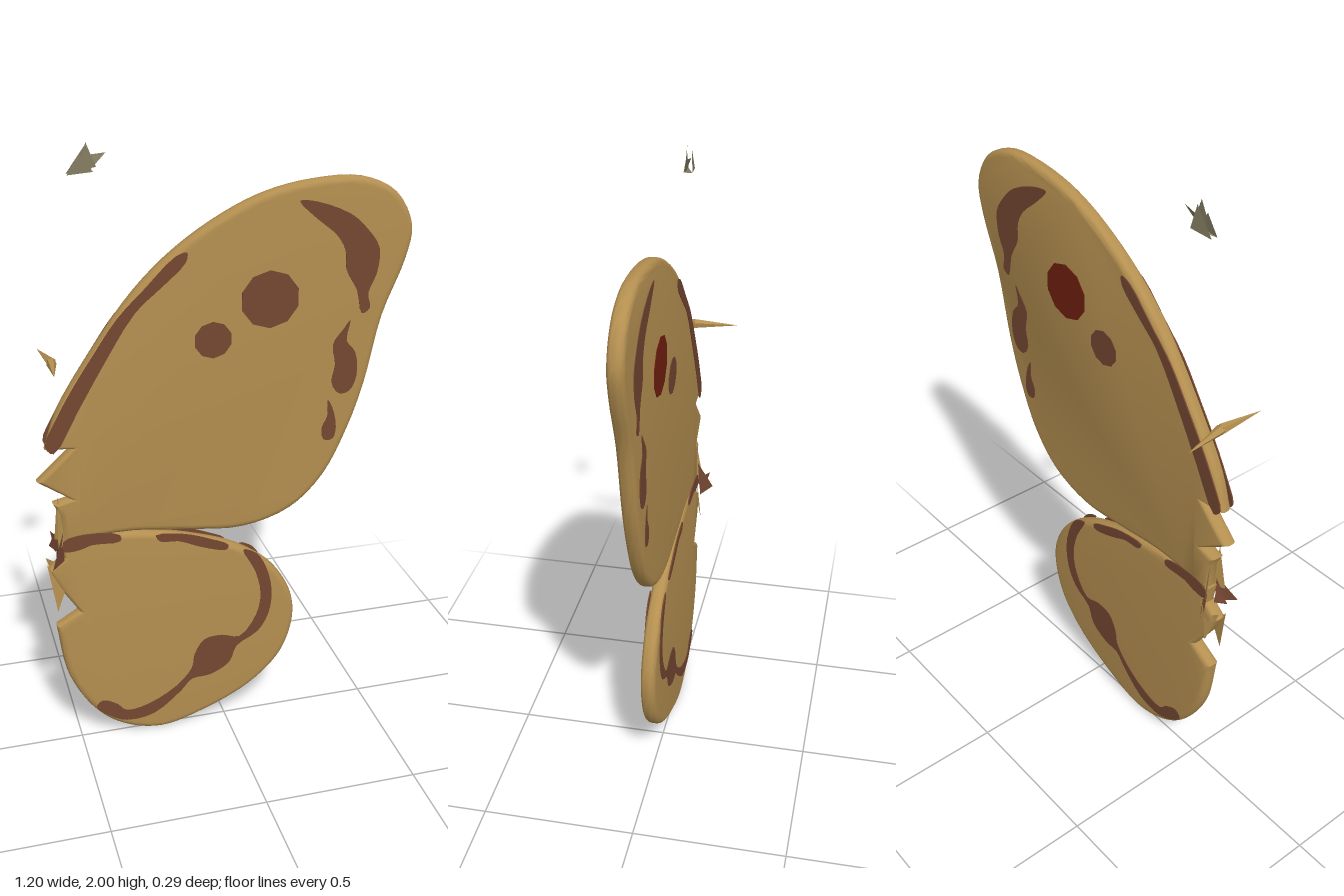
import * as THREE from 'three';
import { toCreasedNormals } from 'three/addons/utils/BufferGeometryUtils.js';

const FRONT = 0.03, BACK = -0.02; // faces of the wing slab

const material = (name, color, side = THREE.FrontSide) => {
  const m = new THREE.MeshStandardMaterial({ color, side });
  m.name = name;
  return m;
};

// Smooth points through a list of [x, y] pairs
const smooth = (pts, closed, n) =>
  new THREE.CatmullRomCurve3(pts.map(([x, y]) => new THREE.Vector3(x, y, 0)), closed, 'centripetal')
    .getPoints(n).map((p) => new THREE.Vector2(p.x, p.y));

// Wing slab: smooth rim plus a torn, jagged root edge
function wingGeometry(rim, torn) {
  const shape = new THREE.Shape([...smooth(rim, false, 80), ...torn.map(([x, y]) => new THREE.Vector2(x, y))]);
  const geo = new THREE.ExtrudeGeometry(shape, {
    depth: 0.014, bevelThickness: 0.018, bevelSize: 0.02, bevelOffset: -0.02, bevelSegments: 4,
  });
  geo.translate(0, 0, -0.002);
  return toCreasedNormals(geo, 0.7);
}

// Open triangles, nine coordinates each
function shardGeometry(coords) {
  const geo = new THREE.BufferGeometry();
  geo.setAttribute('position', new THREE.Float32BufferAttribute(coords, 3));
  geo.computeVertexNormals();
  return geo;
}

const UPPER_RIM = [
  [-0.57, 1.085], [-0.53, 1.2], [-0.41, 1.39], [-0.28, 1.56], [-0.15, 1.68], [0, 1.775], [0.13, 1.83],
  [0.275, 1.858], [0.43, 1.857], [0.54, 1.805], [0.595, 1.7], [0.58, 1.6], [0.51, 1.42], [0.46, 1.2],
  [0.41, 1.05], [0.33, 0.89], [0.22, 0.785], [0.06, 0.737], [-0.12, 0.75], [-0.31, 0.773], [-0.53, 0.765],
];
const UPPER_TORN = [[-0.535, 0.86], [-0.555, 0.9], [-0.5, 0.912], [-0.6, 0.98], [-0.49, 1.08]];
const LOWER_RIM = [
  [-0.54, 0.775], [-0.3, 0.768], [-0.12, 0.73], [0.04, 0.67], [0.16, 0.58], [0.228, 0.465], [0.238, 0.36],
  [0.195, 0.23], [0.09, 0.125], [-0.07, 0.045], [-0.23, 0.004], [-0.36, 0.04], [-0.455, 0.12],
  [-0.535, 0.27], [-0.565, 0.46],
];
const LOWER_TORN = [[-0.49, 0.505], [-0.55, 0.6], [-0.58, 0.67], [-0.53, 0.71]];

const MARKS = {
  leadingEdgeBand: [
    [-0.57, 1.1], [-0.545, 1.075], [-0.465, 1.205], [-0.385, 1.34], [-0.28, 1.5], [-0.2, 1.57], [-0.125, 1.64],
    [-0.12, 1.67], [-0.155, 1.66], [-0.25, 1.57], [-0.335, 1.485], [-0.41, 1.38], [-0.48, 1.275], [-0.535, 1.18],
  ],
  tipBand: [
    [0.225, 1.8], [0.28, 1.795], [0.39, 1.75], [0.445, 1.7], [0.485, 1.64], [0.48, 1.56], [0.455, 1.5],
    [0.462, 1.45], [0.437, 1.435], [0.418, 1.51], [0.38, 1.58], [0.375, 1.64], [0.345, 1.69], [0.285, 1.74],
  ],
  outerBand: [
    [0.4, 1.415], [0.39, 1.35], [0.42, 1.31], [0.428, 1.23], [0.405, 1.18], [0.37, 1.175],
    [0.345, 1.215], [0.355, 1.275], [0.345, 1.34], [0.38, 1.39],
  ],
  outerDot: [[0.335, 1.155], [0.35, 1.13], [0.365, 1.06], [0.355, 1.02], [0.325, 1.02], [0.317, 1.06], [0.335, 1.1]],
  rootBand: [[-0.53, 0.77], [-0.46, 0.787], [-0.35, 0.768], [-0.35, 0.747], [-0.44, 0.747], [-0.48, 0.735], [-0.53, 0.735]],
  upperHindBand: [
    [-0.233, 0.75], [-0.14, 0.742], [-0.05, 0.71], [0.008, 0.68], [0, 0.665], [-0.085, 0.688], [-0.16, 0.72], [-0.22, 0.727],
  ],
  hindBand: [
    [0.058, 0.655], [0.105, 0.635], [0.137, 0.58], [0.158, 0.49], [0.148, 0.4], [0.11, 0.335], [0.037, 0.29],
    [0.01, 0.228], [-0.06, 0.19], [-0.12, 0.185], [-0.16, 0.143], [-0.255, 0.07], [-0.35, 0.06], [-0.41, 0.09],
    [-0.45, 0.13], [-0.43, 0.153], [-0.38, 0.13], [-0.35, 0.1], [-0.275, 0.11], [-0.175, 0.165], [-0.12, 0.228],
    [-0.11, 0.28], [-0.075, 0.333], [-0.015, 0.34], [0.047, 0.325], [0.105, 0.4], [0.12, 0.48], [0.1, 0.57],
  ],
};

export function createModel() {
  const model = new THREE.Group();
  model.name = 'tornWings';
  const tan = material('wingTan', 0xb48f50);
  const tanOpen = material('shardTan', 0xb48f50, THREE.DoubleSide);
  const brown = material('markingBrown', 0x744631, THREE.DoubleSide);
  const red = material('spotDarkRed', 0x701f0f);
  const olive = material('scrapOlive', 0x827b60, THREE.DoubleSide);

  const add = (name, geometry, mat) => {
    const mesh = new THREE.Mesh(geometry, mat);
    mesh.name = name;
    model.add(mesh);
    return mesh;
  };

  add('upperWing', wingGeometry(UPPER_RIM, UPPER_TORN), tan);
  add('lowerWing', wingGeometry(LOWER_RIM, LOWER_TORN), tan);

  // Markings: thin plates on both faces
  const plate = (name, shape, frontMat, backMat) => {
    const geo = new THREE.ExtrudeGeometry(shape, { depth: 0.004, bevelEnabled: false });
    add(name + 'Front', geo, frontMat).position.z = FRONT - 0.002;
    add(name + 'Back', geo, backMat).position.z = BACK - 0.002;
  };
  for (const [name, pts] of Object.entries(MARKS)) {
    plate(name, new THREE.Shape(smooth(pts, true, pts.length * 3)), brown, brown);
  }

  // Eye spots
  const spot = (x, y, r) => new THREE.Shape(Array.from({ length: 10 }, (_, i) => {
    const a = ((i + 0.5) / 10) * Math.PI * 2;
    return new THREE.Vector2(x + r * Math.cos(a), y + r * 0.97 * Math.sin(a));
  }));
  plate('largeSpot', spot(0.138, 1.505, 0.094), brown, red);
  plate('smallSpot', spot(-0.042, 1.392, 0.06), brown, brown);

  // Ragged shards at the wing root
  add('rootShardsBrown', shardGeometry([
    -0.575, 0.7, 0.08, -0.53, 0.8, 0.025, -0.53, 0.7, 0.025,
    -0.56, 0.69, 0.05, -0.54, 0.78, 0.02, -0.55, 0.72, 0,
    -0.565, 0.71, -0.07, -0.53, 0.82, -0.02, -0.53, 0.69, -0.03,
    -0.56, 0.77, -0.06, -0.53, 0.75, -0.01, -0.55, 0.7, -0.04,
  ]), brown);
  add('rootShardsTan', shardGeometry([
    -0.55, 0.75, 0.045, -0.54, 0.93, 0.02, -0.52, 0.76, 0.02,
    -0.55, 0.75, -0.035, -0.54, 0.88, -0.015, -0.52, 0.75, -0.01,
    -0.56, 0.52, 0.03, -0.585, 0.69, 0.02, -0.53, 0.6, 0.025,
    -0.55, 0.58, -0.03, -0.585, 0.7, -0.01, -0.53, 0.66, -0.02,
  ]), tanOpen);

  // Loose sliver beside the leading edge, pointing forwards and backwards
  const sliver = (name, tip) => {
    const base = new THREE.Vector3(-0.532, 1.358, 0);
    const dir = tip.clone().sub(base);
    const mesh = add(name, toCreasedNormals(new THREE.ConeGeometry(0.016, dir.length(), 5), 0.3), tan);
    mesh.position.copy(base).addScaledVector(dir, 0.5);
    mesh.quaternion.setFromUnitVectors(new THREE.Vector3(0, 1, 0), dir.normalize());
  };
  sliver('sliverFront', new THREE.Vector3(-0.545, 1.366, 0.142));
  sliver('sliverBack', new THREE.Vector3(-0.555, 1.354, -0.146));

  // Loose scrap above the wing
  add('topScrap', shardGeometry([
    -0.46, 1.912, 0.012, -0.385, 1.918, 0.014, -0.423, 1.968, 0.01,
    -0.43, 1.925, 0.014, -0.375, 1.93, 0.008, -0.402, 2, 0.006,
    -0.4, 1.915, 0.01, -0.345, 1.968, 0, -0.395, 1.962, -0.008,
    -0.46, 1.912, -0.008, -0.385, 1.918, -0.014, -0.402, 1.99, -0.008,
    -0.46, 1.912, 0.012, -0.385, 1.918, 0.014, -0.385, 1.918, -0.014,
  ]), olive);

  return model;
}
